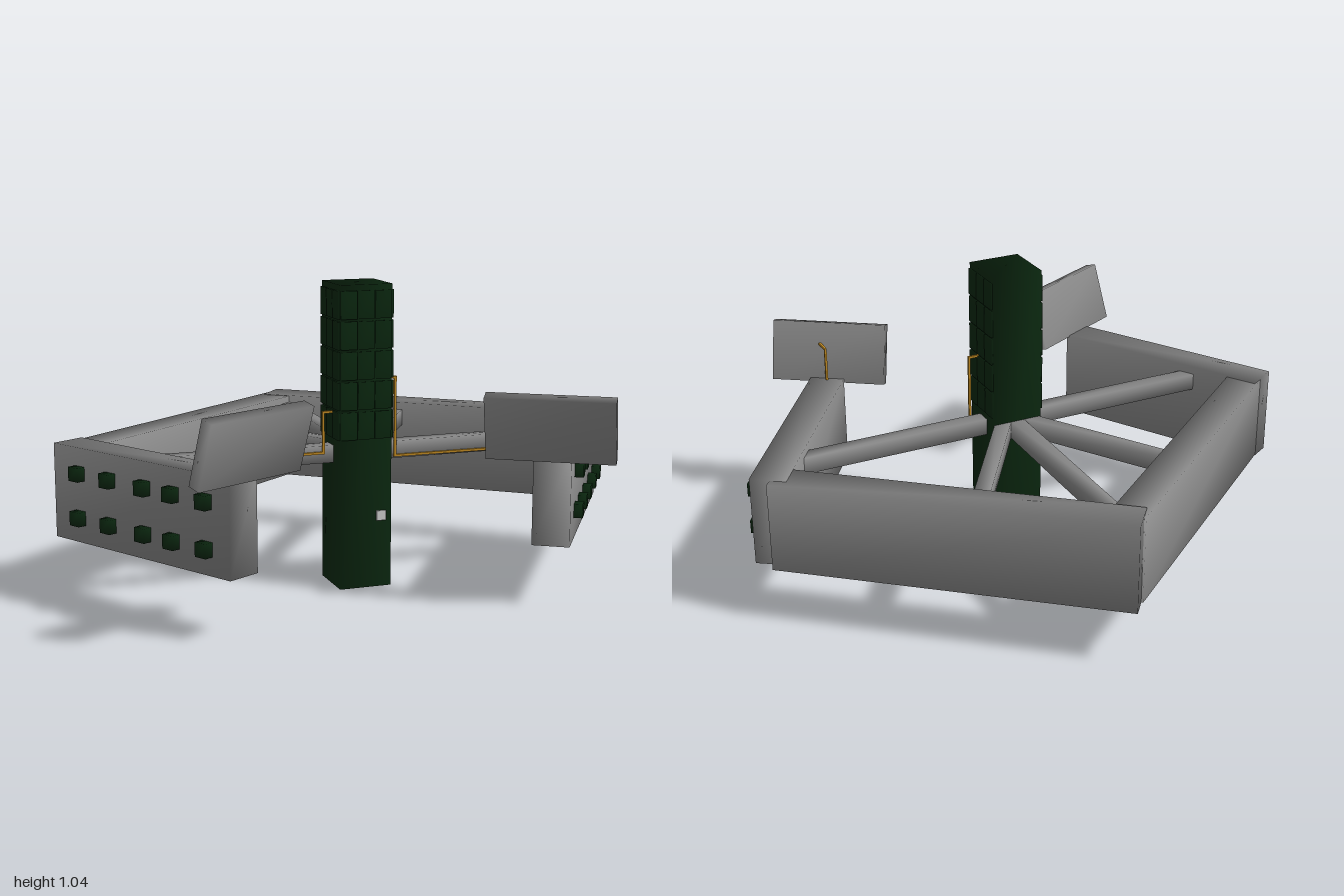
import * as THREE from 'three';
import { mergeVertices } from 'three/addons/utils/BufferGeometryUtils.js';

const paint = (name, color) => {
  const m = new THREE.MeshStandardMaterial({ color });
  m.name = name;
  return m;
};

// Box with shared corners, so its shading runs softly around the edges
function softBox(w, h, d) {
  const g = new THREE.BoxGeometry(w, h, d);
  g.deleteAttribute('normal');
  g.deleteAttribute('uv');
  const merged = mergeVertices(g);
  merged.computeVertexNormals();
  return merged;
}

export function createModel() {
  const model = new THREE.Group();
  const grey = paint('concreteGrey', 0x8a8a8a);
  const green = paint('darkGreen', 0x0b2810);
  const orange = paint('conduitOrange', 0xc08a22);
  const pale = paint('paleGrey', 0xcfcfcf);

  function add(name, geometry, material, x, y, z, parent = model) {
    const mesh = new THREE.Mesh(geometry, material);
    mesh.name = name;
    mesh.position.set(x, y, z);
    parent.add(mesh);
    return mesh;
  }

  // Upright-sided beam between two [x, z] points
  function beam(name, a, b, y0, y1, width) {
    const dx = b[0] - a[0], dz = b[1] - a[1];
    const mesh = add(name, softBox(Math.hypot(dx, dz), y1 - y0, width), grey,
      (a[0] + b[0]) / 2, (y0 + y1) / 2, (a[1] + b[1]) / 2);
    mesh.rotation.y = Math.atan2(-dz, dx);
  }

  // Outer walls: two back wings meeting at the apex, two front arms
  beam('backWingLeft', [-0.02, -0.795], [0.925, -0.02], 0.2, 0.517, 0.125);
  beam('backWingRight', [0.01, -0.75], [-0.92, -0.025], 0.203, 0.514, 0.12);
  beam('frontArmLeft', [0.95, -0.04], [0.495, 0.635], 0.203, 0.519, 0.125);
  beam('frontArmRight', [-0.95, -0.08], [-0.545, 0.63], 0.2, 0.52, 0.12);

  // Spokes from the tower to the walls
  const spokes = [[-0.77, 0.135], [0.79, 0.135], [0.01, -0.69], [-0.335, -0.41], [0.355, -0.4]];
  spokes.forEach((end) => beam('spoke', [0, 0.135], end, 0.43, 0.49, 0.055));

  // Tower with raised panels on the front and both sides
  const tower = new THREE.Group();
  tower.name = 'tower';
  tower.position.z = 0.14;
  model.add(tower);
  add('towerBody', softBox(0.184, 1.04, 0.184), green, 0, 0.52, 0, tower);
  for (let row = 0; row < 5; row++) {
    for (let col = -1; col <= 1; col++) {
      const y = 0.565 + row * 0.102, s = col * 0.061;
      add('frontPanel', softBox(0.056, 0.094, 0.014), green, s, y, 0.091, tower);
      for (const side of [-1, 1]) {
        add('sidePanel', softBox(0.014, 0.094, 0.056), green, side * 0.092, y, s, tower);
      }
    }
  }
  add('towerDoor', new THREE.BoxGeometry(0.034, 0.034, 0.008), pale, 0.055, 0.25, 0.094, tower);

  // Two rows of projecting window boxes along the outside of each arm
  function windows(name, start, dir, steps, rows) {
    const group = new THREE.Group();
    group.name = name;
    model.add(group);
    for (const t of steps) {
      for (const y of rows) {
        const w = add('windowBox', softBox(0.046, 0.047, 0.055), green,
          start[0] + dir[0] * t, y, start[1] + dir[1] * t, group);
        w.rotation.y = Math.atan2(-dir[1], dir[0]);
      }
    }
  }
  windows('leftWindows', [1.004, -0.004], [-0.56, 0.83],
    [0.09, 0.245, 0.415, 0.56, 0.69], [0.302, 0.44]);
  windows('rightWindows', [-1.005, -0.05], [0.495, 0.869],
    [0.13, 0.28, 0.445, 0.575, 0.72], [0.285, 0.435]);

  // Tilted slabs standing on the arm tips
  function slab(name, x, y, z, turn, length) {
    const mesh = add(name, softBox(length, 0.22, 0.045), grey, x, y, z);
    mesh.rotation.set(0.29, turn, 0, 'YXZ');
  }
  slab('slabRight', -0.522, 0.615, 0.66, 0.468, 0.42);
  slab('slabLeft', 0.465, 0.605, 0.675, -0.594, 0.42);

  // Thin conduits made of straight runs between corner points
  function conduit(name, points) {
    const group = new THREE.Group();
    group.name = name;
    model.add(group);
    for (let i = 1; i < points.length; i++) {
      const a = new THREE.Vector3(...points[i - 1]);
      const b = new THREE.Vector3(...points[i]);
      const run = add('conduitRun', new THREE.BoxGeometry(0.008, 0.008, a.distanceTo(b) + 0.008),
        orange, 0, 0, 0, group);
      run.position.addVectors(a, b).multiplyScalar(0.5);
      run.lookAt(b);
    }
  }
  conduit('conduitLeft', [[0.77, 0.438, 0.168], [0.13, 0.44, 0.168], [0.13, 0.713, 0.168], [0.09, 0.713, 0.168]]);
  conduit('conduitRight', [[-0.74, 0.465, 0.168], [-0.13, 0.467, 0.168], [-0.13, 0.607, 0.168], [-0.09, 0.607, 0.168]]);
  conduit('conduitSlab', [[0.5, 0.51, 0.625], [0.5, 0.64, 0.625], [0.5, 0.64, 0.68]]);

  return model;
}
